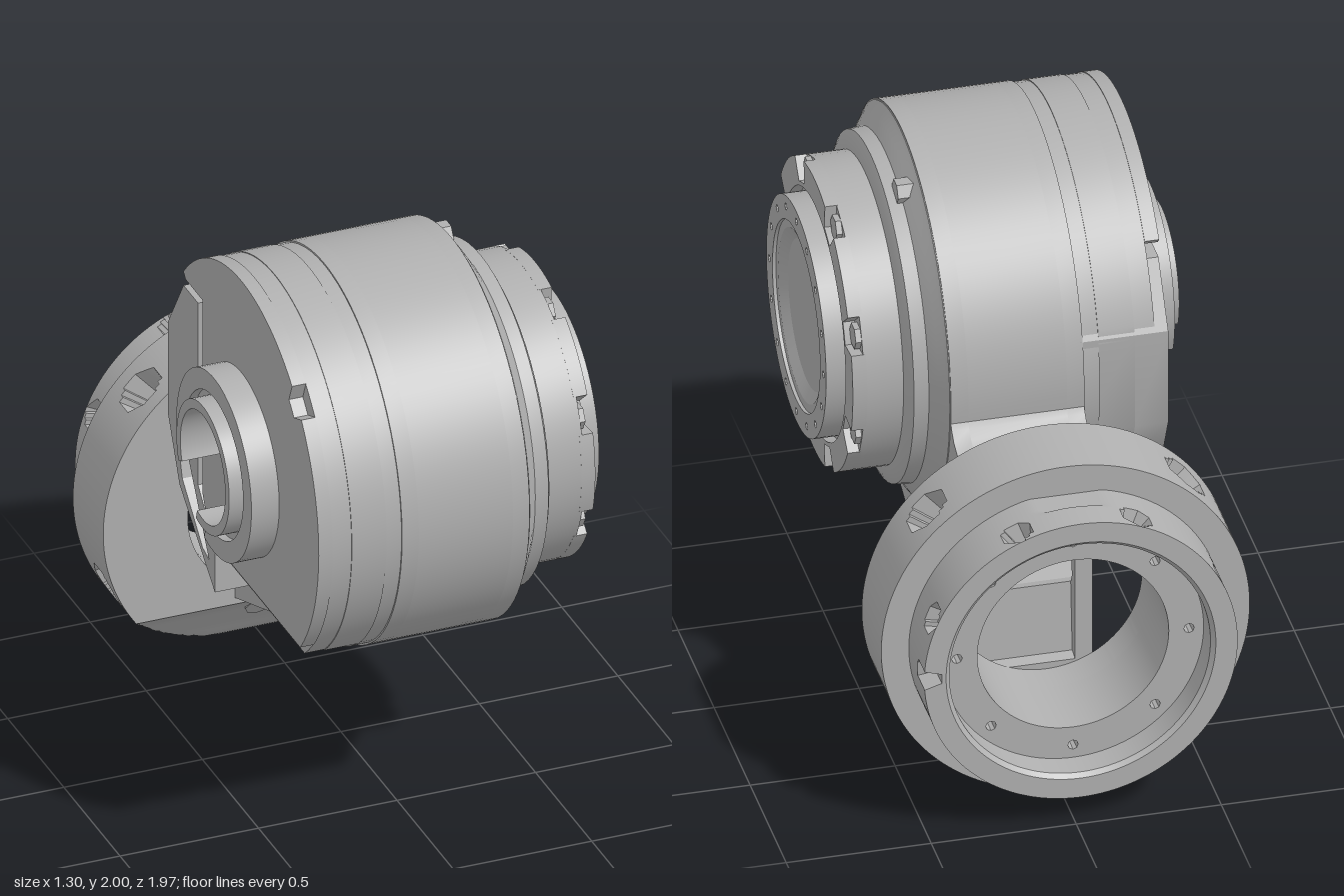
import * as THREE from 'three';
import { toCreasedNormals } from 'three/addons/utils/BufferGeometryUtils.js';

const CU = -0.3, CY = 1.31, R = 0.69; // drum axis: u = -z, y, and radius
const rad = THREE.MathUtils.degToRad;

// Points of an arc in degrees; rule(angle) may change the radius
function arc(u, v, r, a0, a1, n = 48, rule = () => r) {
  return Array.from({ length: n + 1 }, (_, i) => {
    const a = a0 + (a1 - a0) * i / n, q = rule(a);
    return [u + q * Math.cos(rad(a)), v + q * Math.sin(rad(a))];
  });
}
const circle = (u, v, r, n = 48) => arc(u, v, r, 0, 360 * (n - 1) / n, n - 1);
const toVectors = pts => pts.map(p => new THREE.Vector2(p[0], p[1]));

// Small holes evenly spaced on a circle
function holeRing(u, v, r, count, size) {
  return arc(u, v, r, 0, 360 * (count - 1) / count, count - 1).map(p => circle(p[0], p[1], size, 8));
}
function extrude(pts, depth, holes) {
  const shape = new THREE.Shape(toVectors(pts));
  shape.holes = holes.map(h => new THREE.Path(toVectors(h)));
  return new THREE.ExtrudeGeometry(shape, { depth, bevelEnabled: false });
}

export function createModel() {
  const model = new THREE.Group();
  const metal = new THREE.MeshStandardMaterial({ color: 0xb0b0b0 });
  metal.name = 'grey metal';

  function add(name, geo) {
    const mesh = new THREE.Mesh(toCreasedNormals(geo, 0.5), metal);
    mesh.name = name;
    model.add(mesh);
  }
  // Plate with a (u, y) outline, running from x0 to x1
  function plate(name, pts, x0, x1, holes = []) {
    add(name, extrude(pts, x1 - x0, holes).rotateY(Math.PI / 2).translate(x0, 0, 0));
  }
  // Turned part on the drum axis, profile of [radius, x]
  function turned(name, profile) {
    const geo = new THREE.LatheGeometry(toVectors(profile), 64);
    add(name, geo.rotateZ(-Math.PI / 2).translate(0, CY, -CU));
  }
  // Short bolt along x
  function bolt(name, u, y, r, x0, x1) {
    const geo = new THREE.CylinderGeometry(r, r, x1 - x0, 6);
    add(name, geo.rotateZ(Math.PI / 2).translate((x0 + x1) / 2, y, -u));
  }

  // Central band joined to the arm; the middle layer opens into the rear bore
  const window = [[0.455, 0.63], [0.44, 0.6], [0.4, 0.59], [0.17, 0.65], [0.12, 0.7], [0.11, 0.75],
    [0.13, 0.79], [0.22, 0.85], [0.28, 0.91], [0.32, 0.98], [0.36, 1.02], [0.42, 1.02], [0.45, 0.99]];
  const bandArc = arc(CU, CY, R, -5, 250.4, 60);
  const top = [[0.5, 1.17], [0.43, 1.2], [0.4, 1.23]];
  const pins = [[0.43, 1.075], [0.14, 0.5], [0.285, 0.535], [0.415, 0.4]].map(p => circle(p[0], p[1], 0.015, 8));
  const closed = [...bandArc, [0.5, 0.29], ...top];
  const open = [...bandArc, [0.5, 0.29], [0.5, 0.33], [0.46, 0.34], [0.44, 0.6], ...window.slice(2), [0.5, 0.955], ...top];
  plate('arm left cheek', closed, 0.22, 0.28, [window, ...pins]);
  plate('arm core', open, -0.12, 0.22);
  plate('arm right cheek', closed, -0.18, -0.12, [window, ...pins]);

  // Screw heads under the sloping arm
  for (const x of [-0.06, 0.16]) for (const u of [-0.22, 0, 0.21]) {
    const geo = new THREE.CylinderGeometry(0.02, 0.02, 0.012, 10);
    add('arm screw', geo.rotateX(Math.atan2(0.37, 1.03)).translate(x, 0.664 - 0.359 * (u + 0.53), -u));
  }

  // Drum shoulder, flange body and recessed end cap
  turned('drum shoulder', [[0, 0.26], [R - 0.003, 0.26], [R - 0.005, 0.283], [0.67, 0.292], [0.645, 0.31], [0.605, 0.335],
    [0.6, 0.385], [0.57, 0.4], [0.535, 0.405], [0.535, 0.54], [0, 0.54]]);
  const bolts = Array.from({ length: 8 }, (_, i) => 22.5 + 45 * i);
  const notched = a => bolts.some(b => Math.abs(b - a) < 6.2) ? 0.45 : 0.535;
  plate('flange rim', arc(CU, CY, 0.535, 0, 358, 179, notched), 0.53, 0.58, [circle(CU, CY, 0.435, 64)]);
  for (const a of bolts) {
    const [[u, y]] = arc(CU, CY, 0.49, a, a, 1);
    bolt('flange bolt', u, y, 0.045, 0.53, 0.56);
  }
  plate('output ring', circle(CU, CY, 0.415, 64), 0.53, 0.642,
    [circle(CU, CY, 0.33, 64), ...holeRing(CU, CY, 0.375, 16, 0.013)]);
  turned('end cap', [[0.332, 0.53], [0.332, 0.63], [0.3, 0.63], [0.26, 0.605], [0, 0.605]]);
  bolt('shoulder plug', -0.085, 1.89, 0.045, 0.28, 0.355);

  // Rear cover, stepped away at the bottom and behind
  const bore = circle(CU, CY, 0.2, 32);
  plate('cover spacer', circle(CU, CY, R - 0.006, 72), -0.235, -0.17);
  plate('cover body', [...arc(CU, CY, R - 0.003, 14, 230.2, 56), [0.1, 0.78], [0.3, 1.1]], -0.36, -0.235, [bore]);
  plate('cover step', [...arc(CU, CY, R - 0.006, 14, 230.2, 56), [0.1, 0.78], [0.1, 1.7]], -0.43, -0.355, [bore]);
  const slot = a => Math.abs(a - 135) < 4 ? 0.62 : R - 0.003;
  plate('cover face', [...arc(CU, CY, R, 41, 220.7, 90, slot), [-0.02, 0.86], [0.05, 1], [0.05, 1.74], [0.2, 1.74]],
    -0.48, -0.43, [bore]);

  // Connector housing: flat facets inside the drum outline, with an open pocket
  const housing = [[-0.05, 0.665], [0.265, 0.914], [0.366, 1.13], [0.366, 1.49], [0.23, 1.7], [0.1, 1.7], [0.1, 1], [-0.05, 0.84]];
  const pocket = [[0, 0.76], [0.06, 0.78], [0.24, 0.95], [0.28, 1.08], [0.2, 1.08]];
  plate('connector base', housing, -0.36, -0.17);
  plate('connector housing', housing, -0.475, -0.36, [pocket]);

  // Open collar and inner sleeve on the cover
  const collar = (r0, r1) => [...arc(CU, CY, r1, -22, 285, 48), ...arc(CU, CY, r0, 285, -22, 48)];
  plate('collar', collar(0.26, 0.335), -0.58, -0.47);
  plate('inner sleeve', collar(0.2, 0.235), -0.62, -0.47);
  plate('sleeve floor', collar(0.23, 0.265), -0.55, -0.47);

  // Rear mounting rings about z; a rule shapes each vertex (x, y about the ring centre)
  function rearRing(name, outer, z0, z1, rows, rest, rule) {
    const wall = Array.from({ length: rows + 1 }, (_, i) => [outer, z0 + (z1 - z0) * i / rows]);
    const geo = new THREE.LatheGeometry(toVectors([...wall, ...rest, wall[0]]), 192);
    geo.rotateX(Math.PI / 2);
    const p = geo.attributes.position, v = new THREE.Vector3();
    for (let i = 0; i < p.count; i++) {
      v.fromBufferAttribute(p, i);
      if (Math.hypot(v.x, v.y) > outer - 0.005) rule(v);
      p.setXYZ(i, v.x, v.y, v.z);
    }
    add(name, geo.translate(-0.02, 0.635, 0));
  }
  // Push the wall in around round holes at the given angles
  function dent(v, r, angles, zc, size, depth) {
    const a = Math.atan2(v.y, v.x);
    for (const deg of angles) {
      const d = Math.atan2(Math.sin(a - rad(deg)), Math.cos(a - rad(deg))) * r;
      if (Math.hypot(d, v.z - zc) < size) {
        v.x *= (r - depth) / r;
        v.y *= (r - depth) / r;
        return;
      }
    }
  }
  // Height of the scooped underside along z
  const scoop = [[-0.77, 0], [-0.73, 0.02], [-0.68, 0.09], [-0.6, 0.19], [-0.5, 0.265]];
  function underside(z) {
    const i = Math.max(1, scoop.findIndex(s => z <= s[0] + 1e-4));
    const [a, b] = [scoop[i - 1], scoop[i]];
    return a[1] + (b[1] - a[1]) * (z - a[0]) / (b[0] - a[0]);
  }
  rearRing('mounting ring', 0.635, -0.77, -0.5, 18,
    [[0.33, -0.5], [0.33, -0.62], [0.45, -0.62], [0.45, -0.77]], v => {
      dent(v, 0.635, [45, 135, -26.25, 206.25], -0.635, 0.07, 0.14);
      v.y = Math.max(v.y, underside(v.z) - 0.635);
    });
  rearRing('rear flange', 0.54, -0.985, -0.765, 16,
    [[0.45, -0.765], [0.45, -0.97], [0.465, -0.985]], v => {
      dent(v, 0.54, bolts, -0.925, 0.047, 0.07);
      if (Math.abs(v.y) < 0.035 && v.x > 0 && v.z < -0.9) v.x -= 0.06; // edge notch
      if (v.z > -0.87) v.y = Math.min(v.y, 0.525); // flat on top
    });

  // Drilled ledge inside the rear bore
  const ledge = extrude(circle(-0.02, 0.635, 0.452, 96), 0.26,
    [circle(-0.02, 0.635, 0.33, 96), ...holeRing(-0.02, 0.635, 0.4, 8, 0.018)]);
  add('bore ledge', ledge.translate(0, 0, -0.875));

  // Screws set in the scoop
  for (const x of [-0.045, 0.145]) {
    const head = new THREE.CylinderGeometry(0.055, 0.055, 0.014, 8);
    add('scoop screw', head.rotateX(rad(126)).translate(x, 0.18, -0.61));
  }
  return model;
}
